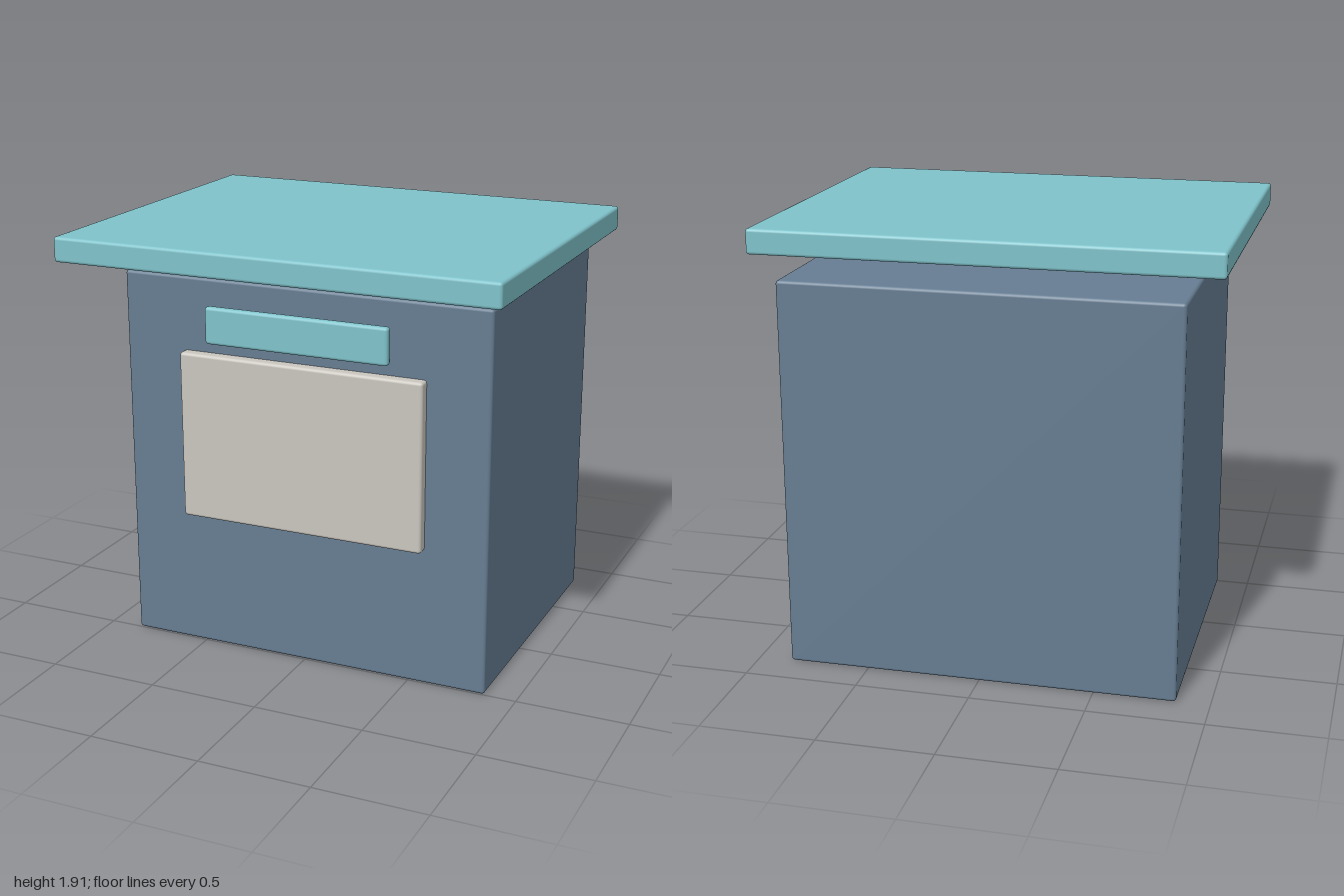
import * as THREE from 'three';
import { RoundedBoxGeometry } from 'three/addons/geometries/RoundedBoxGeometry.js';

function material(name, color) {
  const m = new THREE.MeshStandardMaterial({ color });
  m.name = name;
  return m;
}

// Softly rounded box given by its minimum and maximum corners
function slab(name, min, max, mat) {
  const size = max.map((v, i) => v - min[i]);
  const mesh = new THREE.Mesh(new RoundedBoxGeometry(...size, 2, 0.014), mat);
  mesh.position.set(...max.map((v, i) => (v + min[i]) / 2));
  mesh.name = name;
  return mesh;
}

export function createModel() {
  const slate = material('slate blue', 0x667d92);
  const teal = material('light teal', 0x7fc2ca);
  const stone = material('warm grey', 0xcac6bf);

  const group = new THREE.Group();
  group.name = 'kiosk';
  group.add(
    // Main block
    slab('body', [-0.855, 0, -0.835], [0.855, 1.715, 0.5], slate),
    // Roof slab floating above the body, overhanging the front
    slab('roof', [-1, 1.805, -0.785], [1, 1.915, 0.835], teal),
    // Serving panel set into the front wall
    slab('frontPanel', [-0.57, 0.625, 0.45], [0.57, 1.385, 0.55], stone),
    // Sign board standing just off the front wall
    slab('signBoard', [-0.425, 1.445, 0.54], [0.425, 1.61, 0.58], teal),
  );
  return group;
}
